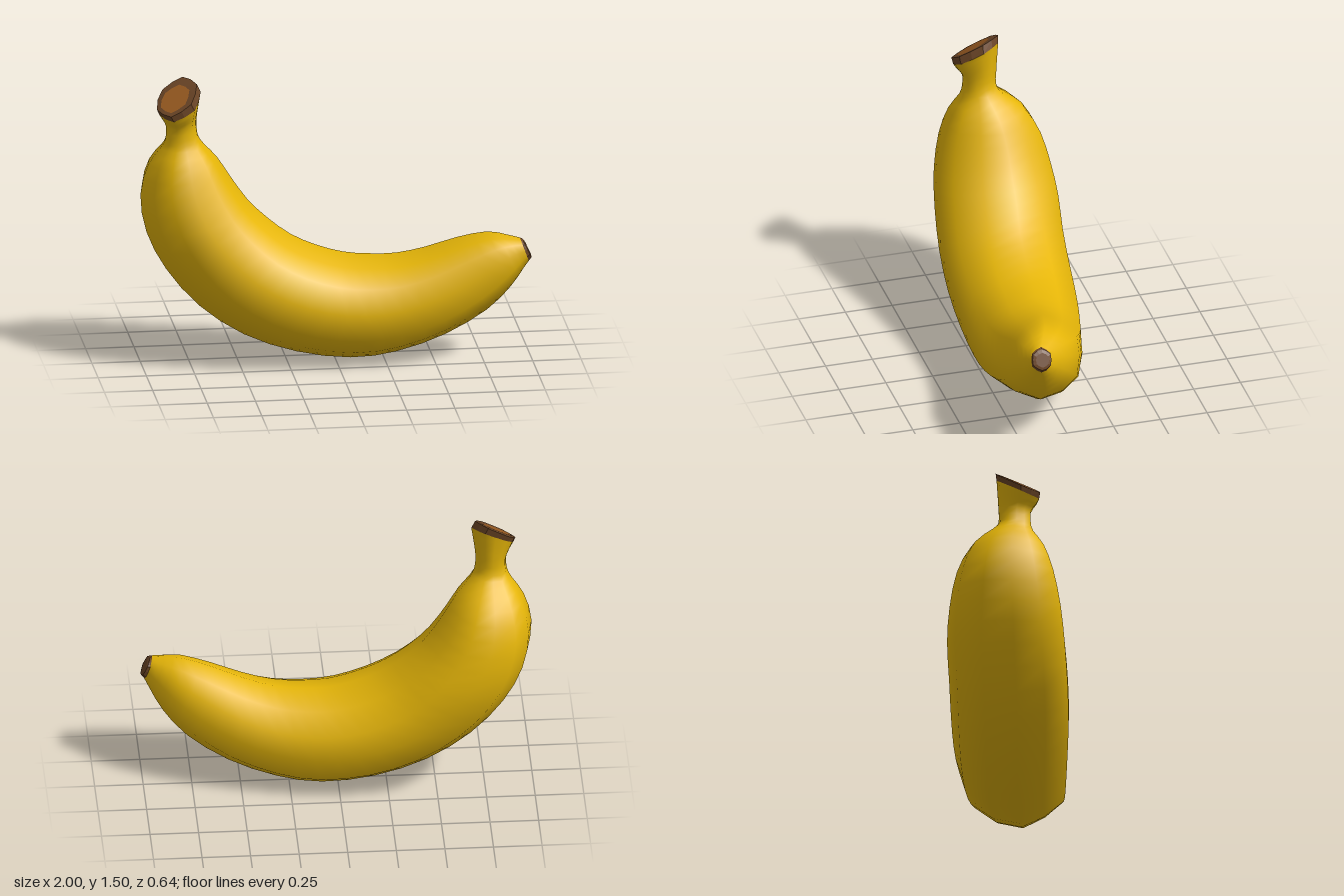
import * as THREE from 'three';

const SIDES = 12;
const TWIST = 0.1; // the outer ridge leans a little towards the front

// Each station: outer edge (x, y), inner edge (x, y), front z, back z, tilt of the section towards the front
const BODY = [
  [-0.91, 1.35, -0.69, 1.445, 0.15, -0.07, 0.05],
  [-0.89, 1.315, -0.70, 1.38, 0.135, -0.065, 0.03],
  [-0.87, 1.27, -0.71, 1.30, 0.107, -0.06, 0.01],
  [-0.875, 1.20, -0.705, 1.22, 0.107, -0.06, 0],
  [-0.90, 1.15, -0.67, 1.16, 0.12, -0.105, 0],
  [-0.96, 1.06, -0.60, 1.08, 0.175, -0.205, 0],
  [-1.00, 0.90, -0.53, 0.97, 0.225, -0.275, 0],
  [-0.97, 0.70, -0.44, 0.84, 0.265, -0.31, 0],
  [-0.87, 0.50, -0.34, 0.74, 0.29, -0.32, 0],
  [-0.70, 0.30, -0.22, 0.65, 0.31, -0.305, 0],
  [-0.47, 0.14, -0.09, 0.59, 0.32, -0.29, 0],
  [-0.20, 0.04, 0.05, 0.55, 0.32, -0.27, 0],
  [0.08, 0.00, 0.18, 0.54, 0.32, -0.24, 0],
  [0.32, 0.03, 0.32, 0.545, 0.32, -0.20, 0],
  [0.57, 0.12, 0.47, 0.58, 0.315, -0.15, 0],
  [0.78, 0.25, 0.63, 0.635, 0.30, -0.08, 0],
  [0.90, 0.38, 0.78, 0.67, 0.285, 0.00, 0],
  [0.96, 0.48, 0.88, 0.66, 0.26, 0.09, 0],
  [0.985, 0.525, 0.94, 0.65, 0.25, 0.145, 0],
];
const STEM_RIM = [
  [-0.9, 1.385, -0.75, 1.46, 0.125, -0.03, 0.037],
  [-0.92, 1.375, -0.71, 1.485, 0.155, -0.075, 0.05],
  BODY[0],
];
const BLOSSOM_END = [
  BODY[BODY.length - 1],
  [1.0, 0.545, 0.952, 0.645, 0.247, 0.147, 0],
  [0.997, 0.56, 0.965, 0.63, 0.23, 0.162, 0],
];

// Smoothly resample the stations along the fruit
function resample(stations, count) {
  const curve = (a, b, c) =>
    new THREE.CatmullRomCurve3(stations.map((s) => new THREE.Vector3(s[a], s[b], s[c])), false, 'catmullrom');
  const outerInner = curve(0, 1, 2);
  const innerFront = curve(3, 4, 5);
  const tilt = curve(6, 6, 6);
  return Array.from({ length: count + 1 }, (_, i) => {
    const t = i / count;
    return [...outerInner.getPoint(t).toArray(), ...innerFront.getPoint(t).toArray(), tilt.getPoint(t).x];
  });
}

// Softly six-ridged section, rounder between the outer ridge and the back
function section([ox, oy, ix, iy, front, back, tilt]) {
  const points = [];
  for (let k = 0; k < SIDES; k++) {
    const angle = (k / SIDES) * Math.PI * 2 + TWIST;
    const r = k === SIDES - 1 ? 0.98 : k % 2 ? 0.93 : 1;
    const along = Math.cos(angle) * r;
    const side = (Math.sin(angle) * r) / 0.93;
    points.push(
      (ox + ix) / 2 + ((ox - ix) / 2) * along,
      (oy + iy) / 2 + ((oy - iy) / 2) * along - tilt * side,
      (front + back) / 2 + ((front - back) / 2) * side,
    );
  }
  return points;
}

// Skin the sections, optionally closing either end
function loft(stations, { startCap = false, endCap = false, flat = false } = {}) {
  const positions = stations.flatMap(section);
  const index = [];
  for (let i = 0; i < stations.length - 1; i++) {
    for (let k = 0; k < SIDES; k++) {
      const a = i * SIDES + k;
      const b = i * SIDES + ((k + 1) % SIDES);
      index.push(a, a + SIDES, b, b, a + SIDES, b + SIDES);
    }
  }
  const close = (i, reversed) => {
    const [ox, oy, ix, iy, front, back] = stations[i];
    const centre = positions.length / 3;
    positions.push((ox + ix) / 2, (oy + iy) / 2, (front + back) / 2);
    for (let k = 0; k < SIDES; k++) {
      const a = i * SIDES + k;
      const b = i * SIDES + ((k + 1) % SIDES);
      index.push(centre, ...(reversed ? [b, a] : [a, b]));
    }
  };
  if (startCap) close(0, false);
  if (endCap) close(stations.length - 1, true);
  let geometry = new THREE.BufferGeometry();
  geometry.setAttribute('position', new THREE.Float32BufferAttribute(positions, 3));
  geometry.setIndex(index);
  if (flat) geometry = geometry.toNonIndexed();
  geometry.computeVertexNormals();
  return geometry;
}

export function createModel() {
  const material = (name, color) => {
    const m = new THREE.MeshStandardMaterial({ color });
    m.name = name;
    return m;
  };
  const yellow = material('peelYellow', 0xe6b608);
  const brown = material('driedBrown', 0x6b4526);
  const cutBrown = material('cutBrown', 0x985a20);

  const group = new THREE.Group();
  group.name = 'banana';
  const add = (name, geometry, mat) => {
    const mesh = new THREE.Mesh(geometry, mat);
    mesh.name = name;
    group.add(mesh);
  };

  // Peel with the neck of the stem
  add('peel', loft(resample(BODY, 36)), yellow);
  // Dried rim around the cut stem, and the cut itself
  add('stemRim', loft(STEM_RIM, { flat: true }), brown);
  add('stemCut', loft([STEM_RIM[0]], { startCap: true, flat: true }), cutBrown);
  // Dried blossom end
  add('blossomEnd', loft(BLOSSOM_END, { endCap: true, flat: true }), brown);
  return group;
}
